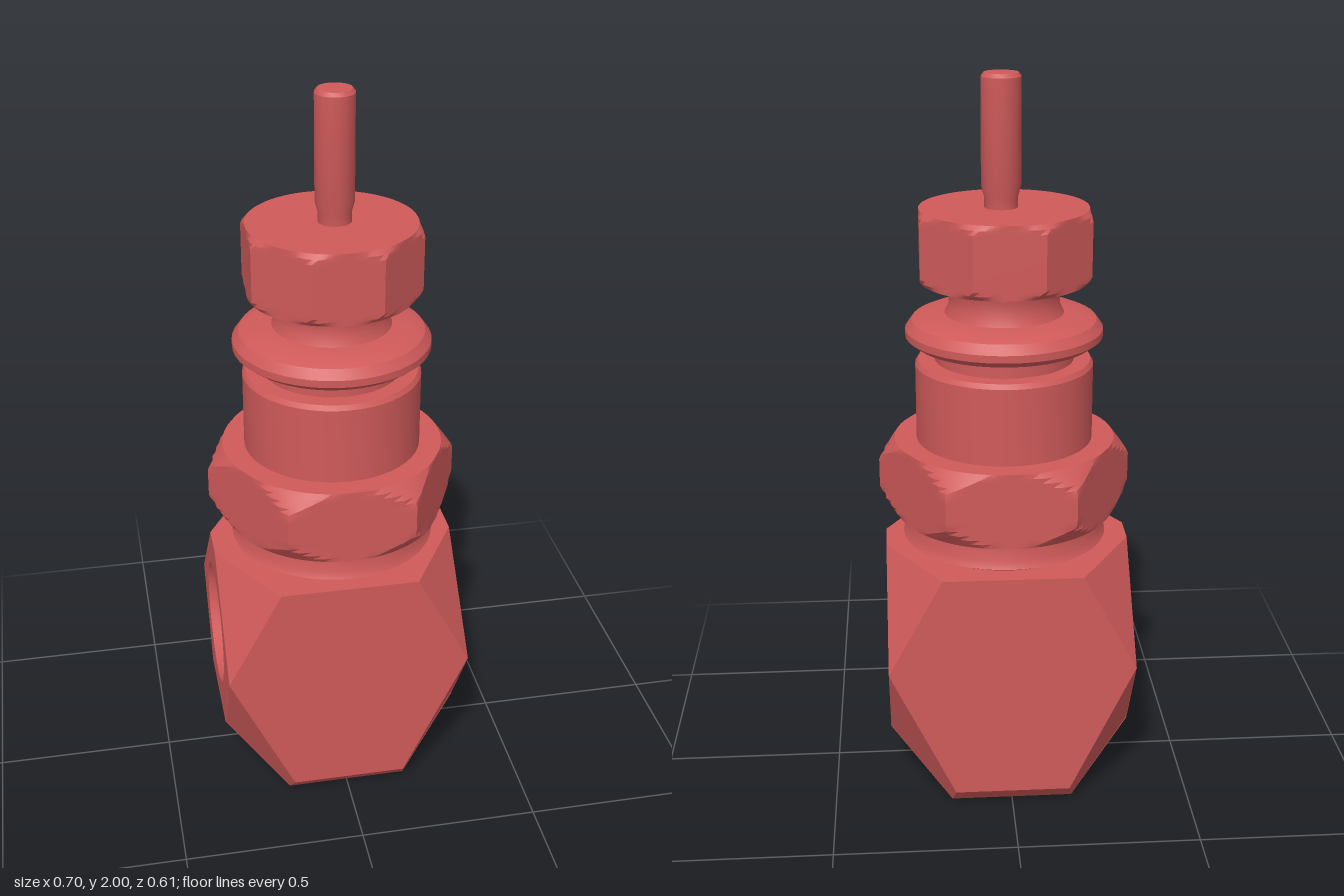
import * as THREE from 'three';
import { toCreasedNormals } from 'three/addons/utils/BufferGeometryUtils.js';

const red = new THREE.MeshStandardMaterial({ color: 0xd05a5a, side: THREE.DoubleSide });
red.name = 'valveRed';

const V = (x, y, z) => new THREE.Vector3(x, y, z);

function add(parent, name, geometry) {
  const mesh = new THREE.Mesh(geometry, red);
  mesh.name = name;
  parent.add(mesh);
  return mesh;
}

// Flat polygon facing away from the block centre, with an optional round hole
function facet(points, holeCentre, holeRadius) {
  const o = points[0];
  const u = points[1].clone().sub(o).normalize();
  const n = u.clone().cross(points[2].clone().sub(o)).normalize();
  if (n.dot(o.clone().sub(V(0, 0.36, 0))) < 0) n.negate();
  const v = n.clone().cross(u);
  const flat = p => {
    const d = p.clone().sub(o);
    return new THREE.Vector2(d.dot(u), d.dot(v));
  };
  const shape = new THREE.Shape(points.map(flat));
  if (holeCentre) {
    const c = flat(holeCentre);
    shape.holes.push(new THREE.Path().absarc(c.x, c.y, holeRadius, 0, Math.PI * 2, true));
  }
  const basis = new THREE.Matrix4().makeBasis(u, v, n).setPosition(o);
  return new THREE.ShapeGeometry(shape, 24).applyMatrix4(basis);
}

// Turned part from [radius, y] pairs
function turned(profile, segments = 48) {
  const pts = profile.map(([r, y]) => new THREE.Vector2(r, y));
  return toCreasedNormals(new THREE.LatheGeometry(pts, segments), 0.5);
}

// Polygonal nut whose corners are trimmed by a cone at top and bottom
function nut(sides, apothem, y0, y1, trim, drop, turn) {
  const h = y1 - y0;
  const corner = apothem / Math.cos(Math.PI / sides);
  const g = new THREE.CylinderGeometry(1, 1, h, sides * 12, 16);
  const p = g.attributes.position;
  const step = (Math.PI * 2) / sides;
  for (let i = 0; i < p.count; i++) {
    const x = p.getX(i), y = p.getY(i), z = p.getZ(i);
    if (Math.hypot(x, z) < 0.5) continue;
    const a = Math.atan2(z, x) - turn;
    const off = a - Math.round(a / step) * step;
    const edge = Math.min(1, (h / 2 - Math.abs(y)) / drop);
    const limit = corner - trim * (1 - edge);
    const r = Math.min(apothem / Math.cos(off), limit);
    p.setXYZ(i, x * r, y, z * r);
  }
  g.translate(0, (y0 + y1) / 2, 0);
  return toCreasedNormals(g, 0.4);
}

function createBlock() {
  const block = new THREE.Group();
  block.name = 'valveBlock';
  const boreY = 0.43;

  // Corner points for one quadrant, mirrored by sx and sz
  const A = (sx, sz) => V(0.19 * sx, 0.71, 0.305 * sz);
  const B = (sx, sz) => V(0.34 * sx, 0.43, 0.305 * sz);
  const C = (sx, sz) => V(0.34 * sx, 0.71, 0.05 * sz);
  const D = (sx, sz) => V(0.16 * sx, 0.05, 0.305 * sz);
  const E = (sx, sz) => V(0.34 * sx, 0.18, 0.15 * sz);
  const F = (sx, sz) => V(0.17 * sx, 0, 0.26 * sz);

  add(block, 'blockTop', facet([A(1, 1), C(1, 1), C(1, -1), A(1, -1),
    A(-1, -1), C(-1, -1), C(-1, 1), A(-1, 1)]));
  add(block, 'blockBottom', facet([F(1, 1), F(1, -1), F(-1, -1), F(-1, 1)], V(0, 0, 0), 0.15));

  for (const s of [1, -1]) {
    add(block, s > 0 ? 'frontFace' : 'backFace',
      facet([A(1, s), B(1, s), D(1, s), D(-1, s), B(-1, s), A(-1, s)]));
    add(block, 'lowerFaceBevel', facet([D(1, s), D(-1, s), F(-1, s), F(1, s)]));
    add(block, s > 0 ? 'leftPortFace' : 'rightPortFace',
      facet([C(s, 1), B(s, 1), E(s, 1), E(s, -1), B(s, -1), C(s, -1)], V(0.34 * s, boreY, 0), 0.175));
    add(block, 'lowerSideBevel', facet([E(s, 1), E(s, -1), F(s, -1), F(s, 1)]));
    for (const t of [1, -1]) {
      add(block, 'upperCornerCut', facet([A(s, t), B(s, t), C(s, t)]));
      add(block, 'lowerCornerCut', facet([B(s, t), D(s, t), F(s, t), E(s, t)]));
    }
  }

  // Threaded through bore
  const thread = [[0.175, -0.34]];
  for (let i = 0; i <= 20; i++) thread.push([i % 2 ? 0.165 : 0.155, -0.31 + i * 0.031]);
  thread.push([0.175, 0.34]);
  const bore = add(block, 'throughBore', turned(thread));
  bore.rotation.z = Math.PI / 2;
  bore.position.y = boreY;

  // Blind port underneath
  add(block, 'bottomPort', turned([[0.15, 0], [0.135, 0.03], [0.135, 0.26], [0, 0.26]]));
  return block;
}

export function createModel() {
  const model = new THREE.Group();
  model.name = 'needleValve';
  model.add(createBlock());

  const bonnet = new THREE.Group();
  bonnet.name = 'bonnet';
  bonnet.position.x = 0.005;
  model.add(bonnet);

  add(bonnet, 'lowerCollar', turned([[0.24, 0.7], [0.25, 0.715], [0.285, 0.73],
    [0.275, 0.75], [0.275, 0.81]]));
  add(bonnet, 'hexNut', nut(6, 0.302, 0.8, 1.012, 0.045, 0.06, Math.PI / 6));
  add(bonnet, 'sleeve', turned([[0.243, 1.0], [0.243, 1.225], [0.235, 1.238], [0, 1.238]]));
  add(bonnet, 'groove', turned([[0.19, 1.23], [0.19, 1.29]]));
  add(bonnet, 'flange', turned([[0.17, 1.28], [0.245, 1.287], [0.268, 1.305], [0.268, 1.325],
    [0.25, 1.35], [0.22, 1.363], [0.15, 1.368]]));
  add(bonnet, 'upperNeck', turned([[0.165, 1.36], [0.15, 1.39], [0.15, 1.43], [0.165, 1.47]]));
  add(bonnet, 'octagonNut', nut(8, 0.226, 1.457, 1.652, 0.018, 0.02, 0));

  // Stem with a small fillet at its foot
  const stem = add(bonnet, 'stem', turned([[0.045, 1.64], [0.045, 1.68], [0.053, 1.71],
    [0.053, 1.99], [0.046, 2], [0, 2]], 16));
  stem.position.x = 0.008;
  return model;
}
